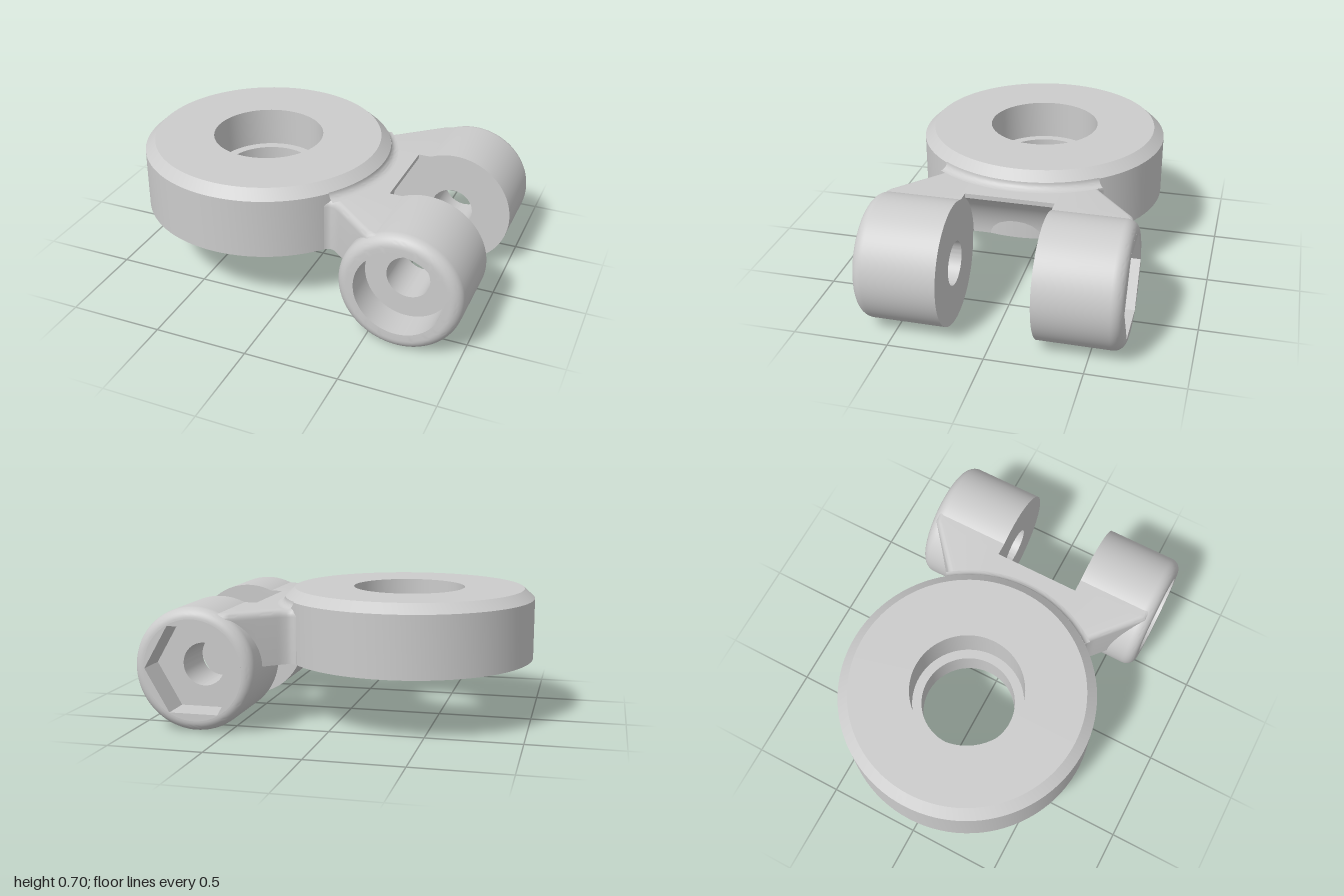
import * as THREE from 'three';
import { toCreasedNormals } from 'three/addons/utils/BufferGeometryUtils.js';

const AX = 0.675, AY = 0.325;            // hinge axis position
const DISC_X = -0.325, BASE = 0.33, ARM_TOP = 0.62;
const IN = 0.235, OUT = 0.675, FLOOR = 0.505, BORE = 0.115;

const mat = new THREE.MeshStandardMaterial({ color: 0xcccccc });

function add(parent, name, geo, crease = 0.6) {
  const mesh = new THREE.Mesh(toCreasedNormals(geo, crease), mat);
  mesh.name = name;
  parent.add(mesh);
  return mesh;
}

function lathe(pts, start = 0, length = Math.PI * 2, seg = 96) {
  return new THREE.LatheGeometry(pts.map(p => new THREE.Vector2(p[0], p[1])), seg, start, length);
}

// Points on an arc, angles in radians
function arc(cx, cy, r, a0, a1, n) {
  return Array.from({ length: n + 1 }, (_, i) => {
    const a = a0 + (a1 - a0) * i / n;
    return [cx + r * Math.cos(a), cy + r * Math.sin(a)];
  });
}

function circleHole(r) {
  const p = new THREE.Path();
  p.absarc(0, 0, r, 0, Math.PI * 2, true);
  return p;
}

// Flared side of the arm, lofted along x and cut to sit inside the lug wall
function armSide(s) {
  const plan = [[0.12, 0.4], [0.19, 0.437], [0.205, 0.424], [0.222, 0.42], [0.245, 0.427],
    [0.275, 0.45], [0.5, 0.645], [0.6, 0.65]];
  const width = x => {
    let i = 0;
    while (i < plan.length - 2 && x > plan[i + 1][0]) i++;
    const [a, b] = [plan[i], plan[i + 1]];
    return a[1] + (b[1] - a[1]) * (x - a[0]) / (b[0] - a[0]);
  };
  const xs = plan.slice(0, 6).map(p => p[0]);
  for (let i = 1; i <= 26; i++) xs.push(0.275 + 0.325 * i / 26);
  const pos = [], idx = [];
  let n = 0;
  xs.forEach(x => {
    const w = width(x), d = 0.09 - (x - AX) ** 2;
    const bottom = d > 0 ? Math.max(BASE, AY + Math.sqrt(d)) : BASE;
    const r = Math.min(0.04, (ARM_TOP - bottom) * 0.8);
    const ring = [[bottom, IN], [ARM_TOP, IN],
      ...arc(ARM_TOP - r, w - r, r, 0, Math.PI / 2, 6), [bottom, w]];
    if (s < 0) ring.reverse();
    n = ring.length;
    ring.forEach(([y, z]) => pos.push(x, y, z * s));
  });
  for (let i = 0; i < xs.length - 1; i++) {
    for (let j = 0; j < n; j++) {
      const k = (j + 1) % n, a = i * n + j, b = i * n + k, c = a + n, d = b + n;
      idx.push(a, b, c, b, d, c);
    }
  }
  const g = new THREE.BufferGeometry();
  g.setAttribute('position', new THREE.Float32BufferAttribute(pos, 3));
  g.setIndex(idx);
  return g;
}

export function createModel() {
  const model = new THREE.Group();
  model.name = 'hingedRing';

  // Chamfered ring with a stepped hole
  add(model, 'ring', lathe([[0.25, BASE], [0.675, BASE], [0.675, 0.655], [0.62, 0.705],
    [0.3, 0.705], [0.3, 0.49], [0.25, 0.49], [0.25, BASE]])).position.x = DISC_X;

  // Fillet between the ring wall and the arm top
  const fillet = arc(0.715, 0.66, 0.04, -Math.PI / 2, -Math.PI, 8);
  add(model, 'ringFillet', lathe(fillet, Math.PI / 2 - 0.66, 1.32, 40)).position.x = DISC_X;

  // Middle of the arm, with a concave clearance slot
  const web = new THREE.Shape();
  const a1 = Math.atan2(0.595 - AY, 0.47 - AX), a0 = Math.PI;
  web.moveTo(0.1, BASE);
  arc(AX, AY, 0.34, a0 - 0.015, a1, 20).forEach(p => web.lineTo(p[0], p[1]));
  web.lineTo(0.47, ARM_TOP);
  web.lineTo(0.1, ARM_TOP);
  const webGeo = new THREE.ExtrudeGeometry(web, { depth: IN * 2, bevelEnabled: false });
  webGeo.translate(0, 0, -IN);
  add(model, 'armMiddle', webGeo);

  for (const s of [1, -1]) add(model, s > 0 ? 'armFront' : 'armBack', armSide(s));

  // Outer wall of a lug, from the inner face round to the end face
  const outer = [[BORE, IN], [0.325, IN], ...arc(0.265, 0.615, 0.06, 0, Math.PI / 2, 10)];

  // Front lug with a round counterbore
  const front = new THREE.Group();
  front.name = 'frontLug';
  front.position.set(AX, AY, 0);
  add(front, 'roundLug', lathe([...outer, [0.23, OUT], [0.23, FLOOR], [BORE, FLOOR], [BORE, IN]])
    .rotateX(Math.PI / 2));
  model.add(front);

  // Back lug with a hexagonal nut pocket
  const back = new THREE.Group();
  back.name = 'backLug';
  back.position.set(AX, AY, 0);
  back.rotation.y = Math.PI;
  add(back, 'hexLug', lathe(outer).rotateX(Math.PI / 2));
  add(back, 'bore', lathe([[BORE, FLOOR], [BORE, IN]]).rotateX(Math.PI / 2));
  const hex = arc(0, 0, 0.262, 0, Math.PI * 5 / 3, 5).map(p => new THREE.Vector2(p[0], p[1]));
  const rim = new THREE.Shape().absarc(0, 0, 0.266, 0, Math.PI * 2, false);
  rim.holes.push(new THREE.Path(hex.slice().reverse()));
  add(back, 'nutPocket', new THREE.ExtrudeGeometry(rim,
    { depth: OUT - FLOOR, bevelEnabled: false, curveSegments: 48 }).translate(0, 0, FLOOR));
  const floor = new THREE.Shape(hex);
  floor.holes.push(circleHole(BORE));
  add(back, 'pocketFloor', new THREE.ShapeGeometry(floor, 48).translate(0, 0, FLOOR));
  model.add(back);

  return model;
}
